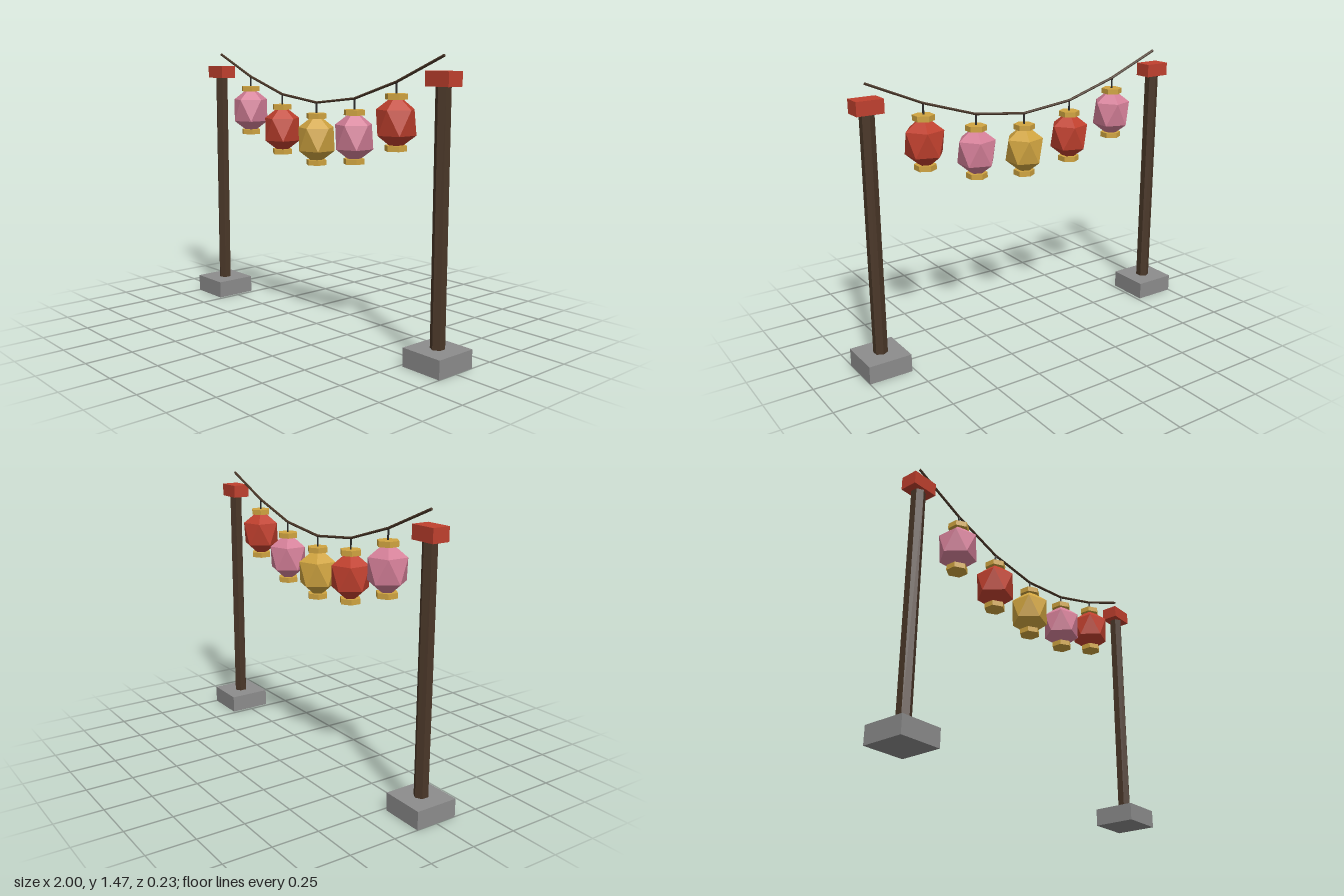
import * as THREE from 'three';

const mat = (name, color, flatShading = true) => {
  const m = new THREE.MeshStandardMaterial({ color, flatShading });
  m.name = name;
  return m;
};

export function createModel() {
  const root = new THREE.Group();
  root.name = 'lanternString';
  const stone = mat('stone grey', 0x8c8c8c);
  const wood = mat('dark wood', 0x4a3728);
  const red = mat('lantern red', 0xc0402e);
  const pink = mat('lantern pink', 0xd47f98);
  const gold = mat('gold', 0xd0a440);
  const dark = mat('hanger black', 0x2a2a2a);

  const add = (parent, name, geometry, material, x = 0, y = 0, z = 0) => {
    const mesh = new THREE.Mesh(geometry, material);
    mesh.name = name;
    mesh.position.set(x, y, z);
    parent.add(mesh);
    return mesh;
  };

  // Two posts with stone feet and red caps
  const postX = 0.884;
  for (const side of [-1, 1]) {
    const post = new THREE.Group();
    post.name = side > 0 ? 'leftPost' : 'rightPost';
    post.position.x = side * postX;
    root.add(post);
    add(post, 'foot', new THREE.BoxGeometry(0.232, 0.095, 0.232), stone, 0, 0.0475);
    add(post, 'pole', new THREE.CylinderGeometry(0.037, 0.037, 1.24, 6), wood, 0, 0.713);
    add(post, 'cap', new THREE.BoxGeometry(0.141, 0.07, 0.094), red, 0, 1.364);
  }

  // Sagging rope in six straight pieces
  const ropePoints = [];
  for (let i = 0; i <= 6; i++) {
    const t = i / 6;
    ropePoints.push(new THREE.Vector3((t * 2 - 1) * postX, 1.468 - 0.25 * Math.sin(t * Math.PI), 0));
  }
  const up = new THREE.Vector3(0, 1, 0);
  for (let i = 0; i < 6; i++) {
    const a = ropePoints[i], b = ropePoints[i + 1];
    const dir = b.clone().sub(a);
    const piece = add(root, 'rope', new THREE.CylinderGeometry(0.007, 0.007, dir.length() + 0.003, 6), wood);
    piece.position.copy(a).add(b).multiplyScalar(0.5);
    piece.quaternion.setFromUnitVectors(up, dir.normalize());
  }

  // Icosahedron standing on a corner, stretched upwards
  const golden = (1 + Math.sqrt(5)) / 2;
  const bodyGeometry = new THREE.IcosahedronGeometry(0.111, 0)
    .rotateX(-Math.atan(golden))
    .rotateY(Math.PI / 2)
    .scale(1, 1.24, 1);
  const rimGeometry = new THREE.CylinderGeometry(0.056, 0.056, 0.028, 6);
  const hangerGeometry = new THREE.CylinderGeometry(0.005, 0.005, 0.06, 6);

  // Five lanterns hanging from the rope corners
  [pink, red, gold, pink, red].forEach((colour, i) => {
    const lantern = new THREE.Group();
    lantern.name = 'lantern';
    lantern.position.copy(ropePoints[i + 1]);
    root.add(lantern);
    add(lantern, 'hanger', hangerGeometry, dark, 0, -0.03);
    add(lantern, 'body', bodyGeometry, colour, 0, -0.194);
    add(lantern, 'topRim', rimGeometry, gold, 0, -0.07);
    add(lantern, 'bottomRim', rimGeometry, gold, 0, -0.318);
  });

  return root;
}
